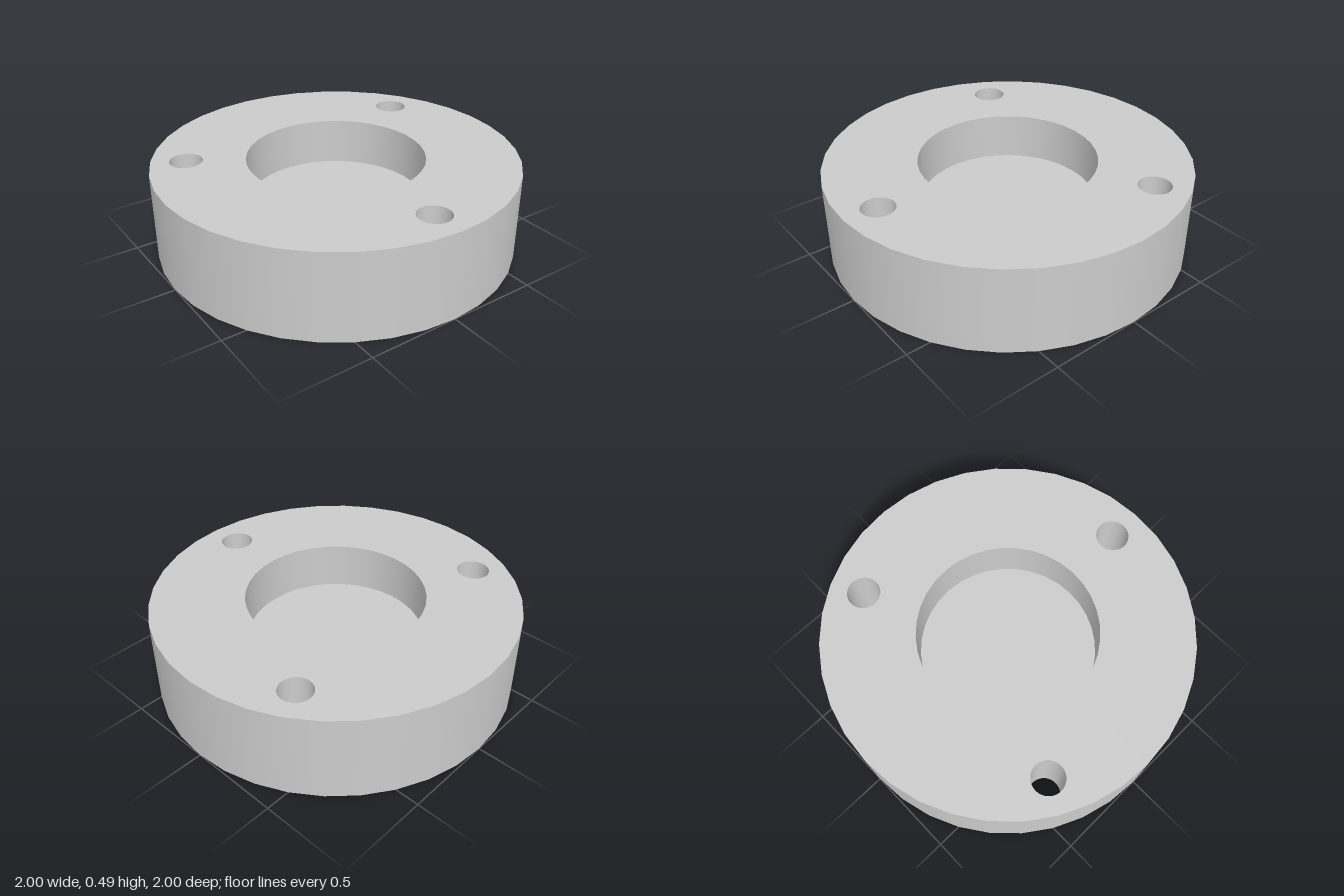
import * as THREE from 'three';

const SEGMENTS = 36;
const HEIGHT = 0.49, RADIUS = 1;
const RECESS_RADIUS = 0.49, FLOOR_Y = 0.225;
const BOLT_RADIUS = 0.09, BOLT_CIRCLE = 0.81;

// Three bolt holes, one at the front and two at the back: [x, z]
const bolts = [0, 1, 2].map((i) => {
  const a = (i * 2 * Math.PI) / 3;
  return [BOLT_CIRCLE * Math.sin(a), BOLT_CIRCLE * Math.cos(a)];
});

// Upright wall: rising faces outward, falling faces inward
function wall(radius, fromY, toY) {
  const line = [new THREE.Vector2(radius, fromY), new THREE.Vector2(radius, toY)];
  return new THREE.LatheGeometry(line, SEGMENTS);
}

// Flat horizontal disc with round holes, facing up (+1) or down (-1)
function disc(radius, holes, y, facing) {
  const shape = new THREE.Shape().absarc(0, 0, radius, 0, Math.PI * 2);
  for (const [x, z, r] of holes) {
    shape.holes.push(new THREE.Path().absarc(x, -facing * z, r, 0, Math.PI * 2, true));
  }
  const geometry = new THREE.ShapeGeometry(shape, SEGMENTS / 2);
  return geometry.rotateX((-facing * Math.PI) / 2).translate(0, y, 0);
}

export function createModel() {
  const model = new THREE.Group();
  model.name = 'flange';
  const material = new THREE.MeshStandardMaterial({ color: 0xcccccc });
  const add = (name, geometry) => {
    const mesh = new THREE.Mesh(geometry, material);
    mesh.name = name;
    model.add(mesh);
    return mesh;
  };
  const boltHoles = bolts.map(([x, z]) => [x, z, BOLT_RADIUS]);

  // Solid body
  add('outerWall', wall(RADIUS, 0, HEIGHT));
  add('topFace', disc(RADIUS, [[0, 0, RECESS_RADIUS], ...boltHoles], HEIGHT, 1));
  add('bottomFace', disc(RADIUS, boltHoles, 0, -1));

  // Blind central recess
  add('recessWall', wall(RECESS_RADIUS, HEIGHT, FLOOR_Y));
  add('recessFloor', disc(RECESS_RADIUS, [], FLOOR_Y, 1));

  // Bolt holes right through the body
  bolts.forEach(([x, z], i) => {
    add(`boltHole${i + 1}`, wall(BOLT_RADIUS, HEIGHT, 0)).position.set(x, 0, z);
  });
  return model;
}
